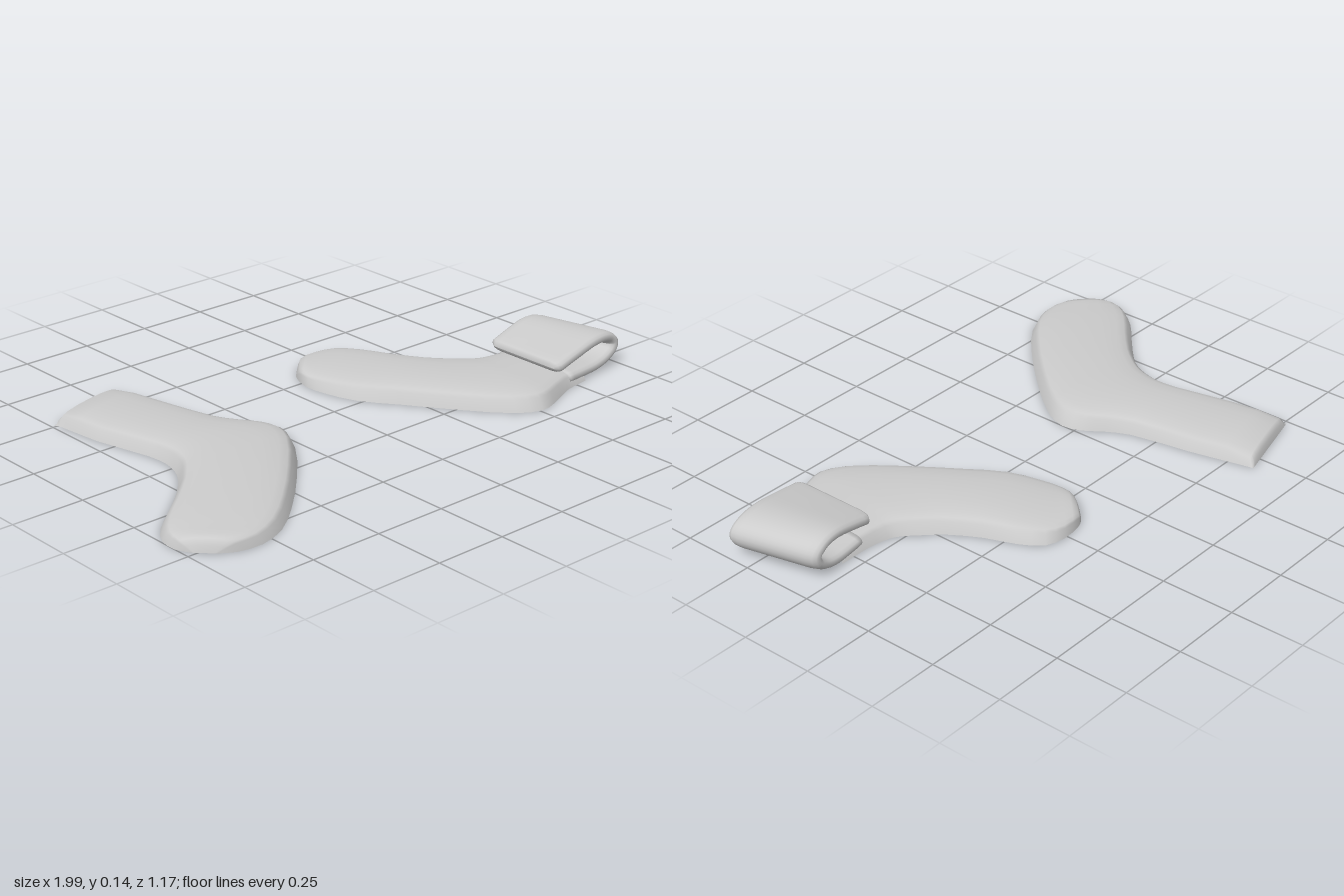
import * as THREE from 'three';

const material = new THREE.MeshStandardMaterial({ color: 0xcccccc, side: THREE.DoubleSide });

// Skin a list of equal-length rows of points; closed joins each row into a loop.
function skin(name, rows, closed) {
  const n = rows[0].length, index = [];
  for (let i = 0; i < rows.length - 1; i++) {
    for (let j = 0; j < (closed ? n : n - 1); j++) {
      const k = (j + 1) % n;
      const a = i * n + j, b = i * n + k, c = a + n, d = b + n;
      index.push(a, c, b, b, c, d);
    }
  }
  const geometry = new THREE.BufferGeometry();
  geometry.setAttribute('position', new THREE.Float32BufferAttribute(rows.flat(2), 3));
  geometry.setIndex(index);
  geometry.computeVertexNormals();
  const mesh = new THREE.Mesh(geometry, material);
  mesh.name = name;
  return mesh;
}

// Domed section, as [fraction of width, fraction of height].
const half = [[0, 0], [0.045, 0.6], [0.08, 0.74], [0.15, 0.86], [0.3, 0.97]];
const dome = [...half, [0.5, 1], ...half.map(([t, y]) => [1 - t, y]).reverse()];

// Open-bottomed shell through stations of [instep x, instep z, heel x, heel z, height].
function sockShell(name, stations) {
  const instep = new THREE.CatmullRomCurve3(stations.map(s => new THREE.Vector3(s[0], s[4], s[1])));
  const heel = new THREE.CatmullRomCurve3(stations.map(s => new THREE.Vector3(s[2], s[4], s[3])));
  const steps = (stations.length - 1) * 2, rows = [];
  for (let i = 0; i <= steps; i++) {
    const a = instep.getPoint(i / steps), b = heel.getPoint(i / steps);
    rows.push(dome.map(([t, y]) => [
      THREE.MathUtils.lerp(a.x, b.x, t),
      Math.max(0, a.y) * y,
      THREE.MathUtils.lerp(a.z, b.z, t),
    ]));
  }
  return skin(name, rows, false);
}

// Flattened tube that turns up at the ankle and doubles back over itself.
function foldedCuff(name) {
  const path = new THREE.CatmullRomCurve3([
    [0.72, 0.028], [0.8, 0.025], [0.87, 0.025], [0.93, 0.035], [0.97, 0.055], [0.98, 0.08],
    [0.965, 0.1], [0.925, 0.113], [0.86, 0.115], [0.76, 0.1], [0.67, 0.083],
  ].map(([x, y]) => new THREE.Vector3(x, y, 0)));
  const edge = [[0.015, 0.55], [0.05, 0.85], [0.12, 1], [0.35, 1]];
  const top = [...edge, ...edge.map(([u, v]) => [1 - u, v]).reverse()];
  const loop = [[0, 0], ...top, [1, 0], ...top.map(([u, v]) => [u, -v]).reverse()];

  const steps = 36, rows = [];
  const addRow = (t, thickness, inset, push) => {
    const p = path.getPoint(t), d = path.getTangent(t);
    p.addScaledVector(d, push);
    const k = THREE.MathUtils.clamp((p.x - 0.66) / 0.3, 0, 1);
    const zBack = THREE.MathUtils.lerp(0.055, 0.03, k) + inset;
    const zFront = THREE.MathUtils.lerp(0.375, 0.335, k) - inset;
    rows.push(loop.map(([u, v]) => {
      const z = THREE.MathUtils.lerp(zFront, zBack, u);
      const slant = 0.24 * k * (z - 0.335);
      const h = thickness * v;
      return [p.x - d.y * h + slant, p.y + d.x * h, z];
    }));
  };
  addRow(0, 0, 0.02, 0);
  for (let i = 0; i <= steps; i++) addRow(i / steps, 0.02, 0, 0);
  // rounded lip
  addRow(1, 0.018, 0.008, 0.01);
  addRow(1, 0.011, 0.018, 0.017);
  addRow(1, 0, 0.025, 0.02);
  return skin(name, rows, true);
}

export function createModel() {
  const model = new THREE.Group();
  model.name = 'pairOfSocks';

  // Sock lying flat, from cuff to toe
  model.add(sockShell('flatSock', [
    [-0.74, -0.51, -0.44, -0.588, 0],
    [-0.73, -0.495, -0.437, -0.57, 0.042],
    [-0.71, -0.32, -0.39, -0.37, 0.052],
    [-0.66, -0.12, -0.35, -0.16, 0.058],
    [-0.655, -0.04, -0.31, -0.08, 0.062],
    [-0.67, 0.02, -0.265, -0.015, 0.064],
    [-0.69, 0.06, -0.25, 0.05, 0.065],
    [-0.72, 0.1, -0.28, 0.13, 0.065],
    [-0.76, 0.145, -0.42, 0.3, 0.063],
    [-0.85, 0.225, -0.57, 0.45, 0.058],
    [-0.945, 0.305, -0.69, 0.545, 0.052],
    [-0.995, 0.375, -0.79, 0.58, 0.046],
    [-1, 0.44, -0.875, 0.57, 0.04],
    [-0.975, 0.49, -0.925, 0.54, 0],
  ]));

  // Sock with the turned-over cuff, from ankle to toe
  const foldedSock = new THREE.Group();
  foldedSock.name = 'foldedSock';
  foldedSock.add(sockShell('foot', [
    [0.8, 0.045, 0.8, 0.36, 0.046],
    [0.7, 0.045, 0.7, 0.375, 0.056],
    [0.61, 0.03, 0.58, 0.425, 0.06],
    [0.57, 0.005, 0.51, 0.44, 0.062],
    [0.53, -0.035, 0.43, 0.4, 0.062],
    [0.48, -0.09, 0.32, 0.27, 0.062],
    [0.42, -0.19, 0.2, 0.1, 0.062],
    [0.38, -0.29, 0.115, -0.02, 0.058],
    [0.33, -0.36, 0.08, -0.13, 0.052],
    [0.26, -0.38, 0.07, -0.21, 0.047],
    [0.18, -0.37, 0.085, -0.27, 0.04],
    [0.145, -0.35, 0.105, -0.31, 0],
  ]));
  foldedSock.add(foldedCuff('turnedOverCuff'));
  model.add(foldedSock);

  return model;
}
